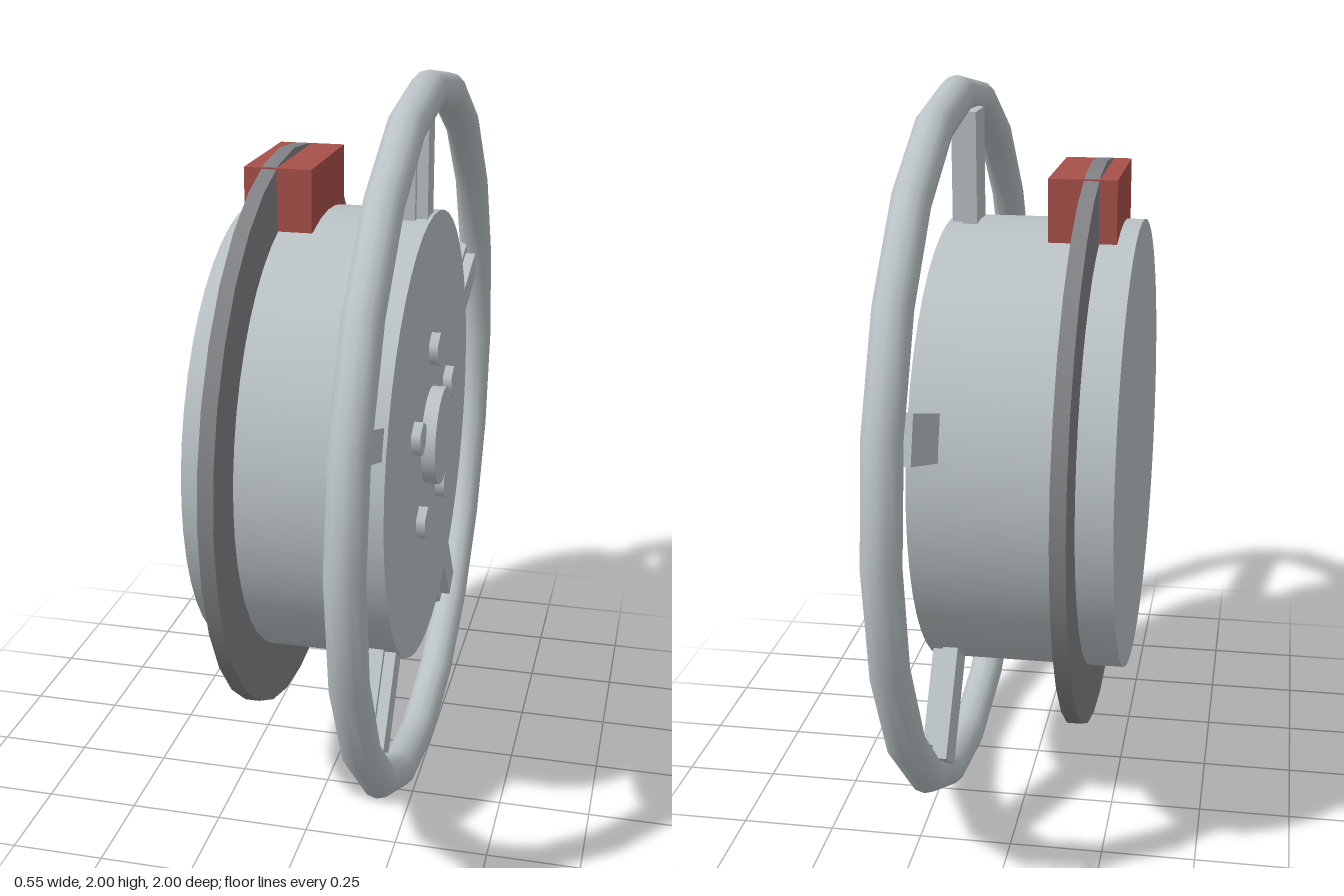
import * as THREE from 'three';

const CENTER_Y = 1.003;

export function createModel() {
  const model = new THREE.Group();
  const wheel = new THREE.Group();
  wheel.name = 'wheel';
  wheel.position.y = CENTER_Y;
  model.add(wheel);

  const material = (name, color) => {
    const m = new THREE.MeshStandardMaterial({ color });
    m.name = name;
    return m;
  };
  const silver = material('silver metal', 0xbac2c5);
  const darkMetal = material('dark metal', 0x808184);
  const red = material('red paint', 0xa8504a);

  const add = (name, geometry, mat, parent = wheel) => {
    const mesh = new THREE.Mesh(geometry, mat);
    mesh.name = name;
    parent.add(mesh);
    return mesh;
  };

  // Solid cylinder along x, from x0 to x1
  const disc = (radius, x0, x1, sides, start = 0) =>
    new THREE.CylinderGeometry(radius, radius, x1 - x0, sides, 1, false, start)
      .rotateZ(-Math.PI / 2)
      .translate((x0 + x1) / 2, 0, 0);

  // Box given by its limits on each axis
  const box = (x0, x1, y0, y1, z0, z1) =>
    new THREE.BoxGeometry(x1 - x0, y1 - y0, z1 - z0)
      .translate((x0 + x1) / 2, (y0 + y1) / 2, (z0 + z1) / 2);

  // Outer ring, a coarse torus around the x axis
  add('outerRing', new THREE.TorusGeometry(0.948, 0.05, 12, 20)
    .rotateY(Math.PI / 2).translate(0.215, 0, 0), silver);

  // Barrel, centre cap, brake disc and caliper
  add('barrel', disc(0.62, -0.28, 0.235, 48), silver);
  add('centreCap', disc(0.136, 0.235, 0.274, 32), silver);
  add('brakeDisc', disc(0.782, -0.185, -0.145, 32), darkMetal);
  add('brakeCaliper', box(-0.232, -0.053, 0.597, 0.762, -0.18, 0.18), red);

  // Five stepped spokes and five hexagonal wheel bolts
  for (let i = 0; i < 5; i++) {
    const angle = (i * Math.PI * 2) / 5;
    const spoke = new THREE.Group();
    spoke.name = 'spoke';
    spoke.rotation.x = angle;
    wheel.add(spoke);
    add('spokeBase', box(0.155, 0.195, 0.59, 0.91, -0.061, 0.061), silver, spoke);
    add('spokeRidge', box(0.195, 0.225, 0.59, 0.875, -0.041, 0.041), silver, spoke);

    const bolt = add('wheelBolt', disc(0.047, 0.235, 0.26, 6, Math.PI / 6), silver);
    bolt.position.set(0, 0.25 * Math.cos(angle), 0.25 * Math.sin(angle));
  }

  return model;
}
